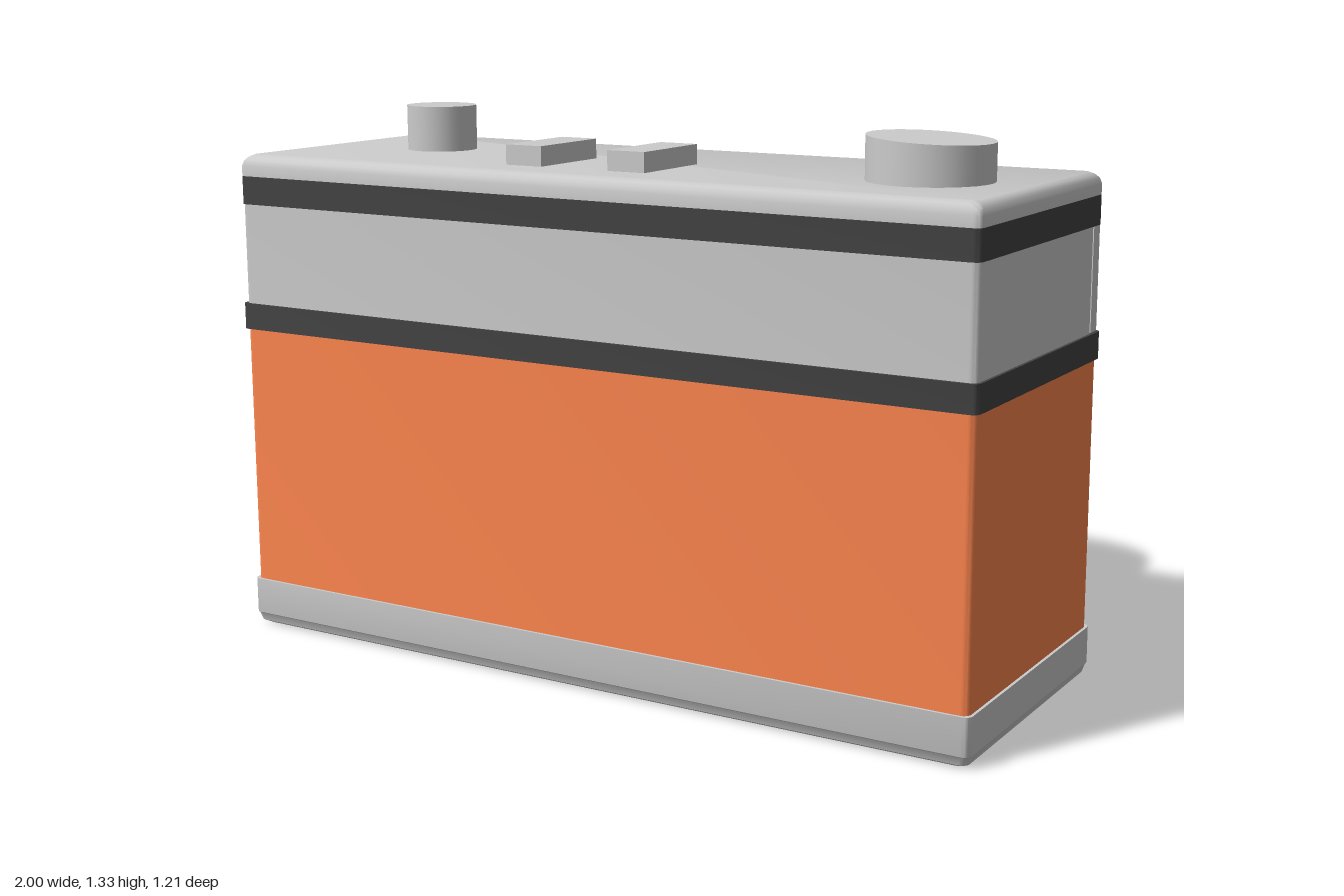
import * as THREE from 'three';
import { toCreasedNormals } from 'three/addons/utils/BufferGeometryUtils.js';

const material = (color) => new THREE.MeshStandardMaterial({ color });
const grey = material(0xcccccc);
const dark = material(0x434343);
const orange = material(0xfe864f);
const purple = material(0xb491fb);

function add(parent, name, geometry, mat, x = 0, y = 0, z = 0) {
  const mesh = new THREE.Mesh(geometry, mat);
  mesh.name = name;
  mesh.position.set(x, y, z);
  parent.add(mesh);
  return mesh;
}

// Slab with rounded vertical edges; each section is [y, inset]
function slab(sections, zBack = -0.113, zFront = 0.598, halfX = 0.993) {
  const radius = 0.018, steps = 4;
  const loops = sections.map(([y, inset]) => {
    const hx = halfX - inset, hz = (zFront - zBack) / 2 - inset, cz = (zFront + zBack) / 2;
    const loop = [];
    [[1, 1], [-1, 1], [-1, -1], [1, -1]].forEach(([sx, sz], q) => {
      for (let i = 0; i <= steps; i++) {
        const a = (q + i / steps) * Math.PI / 2;
        loop.push([
          sx * (hx - radius) + radius * Math.cos(a), y,
          cz + sz * (hz - radius) + radius * Math.sin(a)]);
      }
    });
    return loop;
  });
  const pos = [];
  const tri = (...corners) => corners.forEach((c) => pos.push(...c));
  const n = loops[0].length, first = loops[0], last = loops[loops.length - 1];
  for (let i = 0; i < n; i++) {
    const j = (i + 1) % n;
    for (let k = 0; k + 1 < loops.length; k++) {
      tri(loops[k][i], loops[k + 1][i], loops[k + 1][j]);
      tri(loops[k][i], loops[k + 1][j], loops[k][j]);
    }
    if (i > 0 && j > 0) {
      tri(first[0], first[i], first[j]);
      tri(last[0], last[j], last[i]);
    }
  }
  const geometry = new THREE.BufferGeometry();
  geometry.setAttribute('position', new THREE.Float32BufferAttribute(pos, 3));
  return toCreasedNormals(geometry, 0.6);
}

function rectangle(Type, x0, x1, y0, y1) {
  return new Type([[x0, y0], [x1, y0], [x1, y1], [x0, y1]].map((p) => new THREE.Vector2(...p)));
}

// Panel extruded along z with rectangular openings
function panel(outer, openings, depth) {
  const shape = rectangle(THREE.Shape, ...outer);
  openings.forEach((o) => shape.holes.push(rectangle(THREE.Path, ...o)));
  return new THREE.ExtrudeGeometry(shape, { depth, bevelEnabled: false });
}

function buildBody(camera) {
  const body = new THREE.Group();
  body.name = 'body';
  camera.add(body);
  add(body, 'basePlate', slab([[0, 0.022], [0.008, 0.008], [0.028, 0.002], [0.03, 0], [0.12, 0]], -0.12, 0.605, 1), grey);
  add(body, 'leatherWrap', slab([[0.12, 0], [0.775, 0]]), orange);
  add(body, 'waistBand', slab([[0.775, 0], [0.84, 0]], -0.12, 0.605, 1), dark);
  add(body, 'upperBody', slab([[0.84, 0], [1.09, 0]], -0.075), grey);
  add(body, 'topBand', slab([[1.09, 0], [1.16, 0]], -0.117, 0.6, 0.995), dark);
  add(body, 'topPlate', slab([[1.16, 0], [1.185, 0], [1.198, 0.004], [1.207, 0.012], [1.213, 0.024]], -0.117, 0.6, 0.995), grey);

  // Viewfinder windows, recessed in the upper panel
  const windows = [[-0.13, 0.18], [-0.65, -0.34]].map(([a, b]) => [a, b, 0.905, 1.085]);
  add(body, 'windowPanel', panel([-0.99, 0.99, 0.84, 1.09], windows, 0.038), grey, 0, 0, -0.113);
  windows.forEach(([a, b, c, d]) => {
    const opening = [a + 0.05, b - 0.05, c + 0.04, d - 0.04];
    add(body, 'windowFrame', panel([a, b, c, d], [opening], 0.03), dark, 0, 0, -0.105);
  });
}

function buildLens(camera) {
  const lens = new THREE.Group();
  lens.name = 'lens';
  lens.position.set(0.225, 0.47, 0);
  lens.rotation.y = -0.013;
  camera.add(lens);
  // Barrel sections, each [name, radius, start, end] along the axis
  [
    ['lensMount', 0.405, 0.1, 0.313, dark],
    ['rearRing', 0.387, 0.313, 0.352, grey],
    ['focusRing', 0.387, 0.352, 0.452, dark],
    ['frontRing', 0.387, 0.452, 0.495, grey],
  ].forEach(([name, r, from, to, mat]) => {
    const geometry = new THREE.CylinderGeometry(r, r, to - from, 40);
    geometry.rotateX(-Math.PI / 2);
    add(lens, name, geometry, mat, 0, 0, -(from + to) / 2);
  });
  // Front barrel with a sunken face
  const profile = [[0.387, 0.495], [0.387, 0.605], [0.33, 0.605], [0.325, 0.585], [0, 0.585]]
    .map((p) => new THREE.Vector2(...p));
  const barrel = new THREE.LatheGeometry(profile, 40);
  barrel.rotateX(-Math.PI / 2);
  add(lens, 'frontBarrel', toCreasedNormals(barrel, 0.6), dark);
  const glass = new THREE.CylinderGeometry(0.175, 0.175, 0.01, 40);
  glass.rotateX(-Math.PI / 2);
  add(lens, 'glass', glass, purple, 0, 0, -0.584);
}

function buildControls(camera) {
  const controls = new THREE.Group();
  controls.name = 'controls';
  camera.add(controls);
  add(controls, 'shutterButton', new THREE.CylinderGeometry(0.0875, 0.0875, 0.125, 32), grey, -0.655, 1.2625, 0.215);

  // Dial with a slightly sloping top
  const dial = new THREE.CylinderGeometry(0.145, 0.145, 0.108, 32);
  const p = dial.attributes.position;
  for (let i = 0; i < p.count; i++) {
    if (p.getY(i) > 0) p.setY(i, p.getY(i) - 0.055 * p.getX(i));
  }
  add(controls, 'windingDial', dial, grey, 0.735, 1.254, 0.275);

  [-0.225, 0.06].forEach((x) =>
    add(controls, 'slideSwitch', new THREE.BoxGeometry(0.1, 0.06, 0.235), grey, x, 1.231, 0.348));
}

export function createModel() {
  const camera = new THREE.Group();
  camera.name = 'camera';
  buildBody(camera);
  buildLens(camera);
  buildControls(camera);
  return camera;
}
